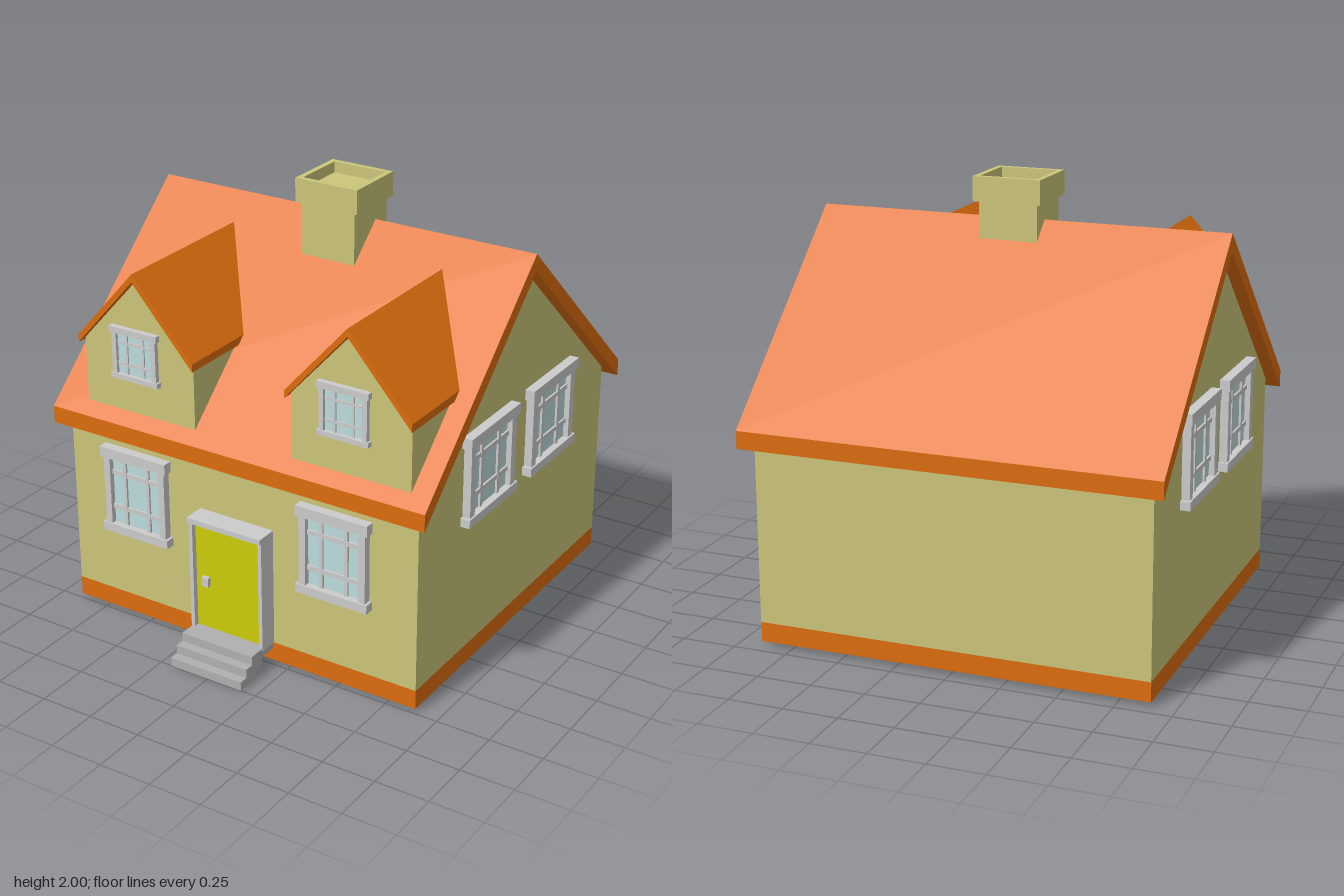
import * as THREE from 'three';

const mat = (color, side = THREE.FrontSide) => new THREE.MeshStandardMaterial({ color, side, flatShading: true });
const M = {
  wall: mat(0xcbc57a), roof: mat(0xdd6d0e), trim: mat(0xdcdcd8), glass: mat(0xbcdcdc),
  door: mat(0xcccc0c), step: mat(0xb0b0b0),
};

function add(parent, name, geo, material) {
  const mesh = new THREE.Mesh(geo, material);
  mesh.name = name;
  parent.add(mesh);
  return mesh;
}

// Box given by its minimum and maximum on each axis
function box(parent, name, material, [x0, x1], [y0, y1], [z0, z1]) {
  const mesh = add(parent, name, new THREE.BoxGeometry(x1 - x0, y1 - y0, z1 - z0), material);
  mesh.position.set((x0 + x1) / 2, (y0 + y1) / 2, (z0 + z1) / 2);
  return mesh;
}

const outline = (pts) => new THREE.Shape(pts.map(([x, y]) => new THREE.Vector2(x, y)));
const prism = (shape, depth) => new THREE.ExtrudeGeometry(shape, { depth, bevelEnabled: false });

// Pitched roof slab: half span w, outer eave and ridge heights, vertical thickness t
const chevron = (w, eave, ridge, t) => outline([
  [-w, eave - t], [0, ridge - t], [w, eave - t], [w, eave], [0, ridge], [-w, eave],
]);

// Framed window facing +z, centred on its origin, 0.43 wide and 0.415 high
function makeWindow(name) {
  const g = new THREE.Group();
  g.name = name;
  box(g, 'glass', M.glass, [-0.165, 0.165], [-0.17, 0.16], [-0.01, 0.012]);
  box(g, 'header', M.trim, [-0.215, 0.215], [0.158, 0.208], [-0.01, 0.045]);
  box(g, 'sill', M.trim, [-0.215, 0.215], [-0.208, -0.168], [-0.01, 0.045]);
  for (const s of [-1, 1]) {
    const jamb = box(g, 'jamb', M.trim, [-0.02, 0.02], [-0.168, 0.158], [-0.01, 0.037]);
    jamb.position.x = s * 0.179;
    box(g, 'verticalBar', M.trim, [s * 0.075 - 0.01, s * 0.075 + 0.01], [-0.168, 0.158], [0, 0.022]);
    box(g, 'horizontalBar', M.trim, [-0.16, 0.16], [s * 0.085 - 0.013, s * 0.085 + 0.009], [0, 0.021]);
  }
  return g;
}

export function createModel() {
  const house = new THREE.Group();
  house.name = 'house';
  const ridgeZ = -0.1, frontZ = 0.745, halfX = 0.893;

  // Plinth and gabled walls (profile runs along z, extruded across x)
  box(house, 'plinth', M.roof, [-halfX, halfX], [0.02, 0.11], [-0.943, frontZ]);
  const walls = add(house, 'walls', prism(outline([
    [-0.845, 0.11], [0.845, 0.11], [0.845, 0.96], [0, 1.73], [-0.845, 0.96],
  ]), 2 * halfX).rotateY(Math.PI / 2), M.wall);
  walls.position.set(-halfX, 0, ridgeZ);

  // Main roof
  const roof = add(house, 'roof', prism(chevron(0.9, 0.99, 1.81, 0.08), 1.9).rotateY(Math.PI / 2), M.roof);
  roof.position.set(-0.95, 0, ridgeZ);

  // Chimney with a hollow cap
  box(house, 'chimney', M.wall, [-0.105, 0.165], [1.5, 1.95], [-0.193, 0.075]);
  const square = (w, h) => [[-w, -h], [w, -h], [w, h], [-w, h]];
  const rim = outline(square(0.156, 0.15));
  rim.holes.push(outline(square(0.13, 0.125)));
  const cap = add(house, 'chimneyCap', prism(rim, 0.11).rotateX(-Math.PI / 2), M.wall);
  cap.position.set(0.03, 1.89, -0.06);

  // Dormers with their windows
  for (const [x, windowX] of [[-0.503, -0.515], [0.567, 0.54]]) {
    const dormer = new THREE.Group();
    dormer.name = 'dormer';
    house.add(dormer);
    const body = add(dormer, 'dormerWalls', prism(outline([
      [-0.288, 1.0], [0.288, 1.0], [0.288, 1.341], [0, 1.662], [-0.288, 1.341],
    ]), frontZ), M.wall);
    body.position.x = x;
    const top = add(dormer, 'dormerRoof', prism(chevron(0.303, 1.36, 1.702, 0.036), 0.79), M.roof);
    top.position.set(x, 0, -0.015);
    const win = makeWindow('dormerWindow');
    win.scale.setScalar(0.58);
    win.position.set(windowX, 1.318, frontZ);
    dormer.add(win);
  }

  // Ground floor windows
  for (const x of [-0.532, 0.497]) {
    const win = makeWindow('frontWindow');
    win.scale.x = 0.825;
    win.position.set(x, 0.643, frontZ);
    house.add(win);
  }

  // Two windows in each gable
  for (const s of [-1, 1]) {
    for (const z of [0.18, -0.378]) {
      const win = makeWindow('gableWindow');
      win.rotation.y = s * Math.PI / 2;
      win.position.set(s * halfX, 0.942, z);
      house.add(win);
    }
  }

  // Door in a projecting frame
  const door = new THREE.Group();
  door.name = 'frontDoor';
  house.add(door);
  box(door, 'doorPanel', M.door, [-0.185, 0.16], [0.12, 0.64], [0.74, 0.81]);
  box(door, 'doorHandle', M.trim, [-0.145, -0.11], [0.335, 0.38], [0.8, 0.828]);
  box(door, 'doorHeader', M.trim, [-0.2, 0.18], [0.642, 0.667], [0.74, 0.848]);
  for (const x of [-0.2, 0.16]) box(door, 'doorJamb', M.trim, [x, x + 0.018], [0.11, 0.642], [0.74, 0.835]);

  // Three overlapping steps
  [[0.89, 1.0], [0.835, 0.957], [0.74, 0.914]].forEach((z, i) =>
    box(house, 'step', M.step, [-0.195, 0.175], [i * 0.041, (i + 1) * 0.041], z));

  return house;
}
